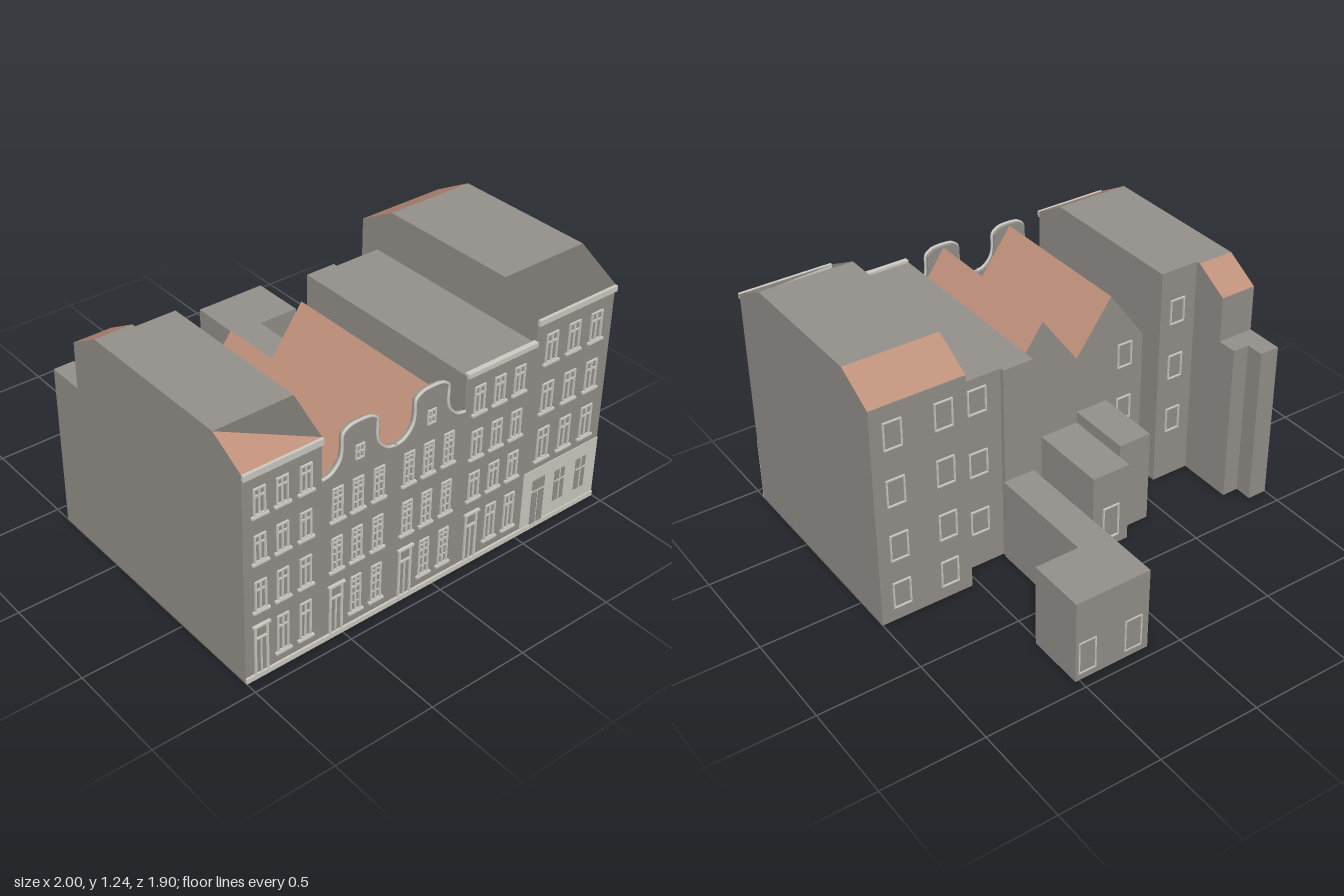
import * as THREE from 'three';
import { mergeGeometries } from 'three/addons/utils/BufferGeometryUtils.js';

const mat = (name, color) => {
  const m = new THREE.MeshStandardMaterial({ color, side: THREE.DoubleSide });
  m.name = name;
  return m;
};

export function createModel() {
  const stone = mat('greyWall', 0x96928d);
  const cream = mat('creamTrim', 0xcfcdc5);
  const tile = mat('terracottaRoof', 0xc0917c);
  const root = new THREE.Group();
  const FZ = 0.935; // facade plane

  const group = (name) => {
    const g = new THREE.Group();
    g.name = name;
    root.add(g);
    return g;
  };
  const add = (parent, name, geo, material) => {
    const m = new THREE.Mesh(geo, material);
    m.name = name;
    parent.add(m);
    return m;
  };
  // box from min/max corners
  const box = (x0, x1, y0, y1, z0, z1) =>
    new THREE.BoxGeometry(x1 - x0, y1 - y0, z1 - z0)
      .translate((x0 + x1) / 2, (y0 + y1) / 2, (z0 + z1) / 2);
  // flat convex polygon
  const panel = (...pts) => {
    const pos = [];
    for (let i = 1; i < pts.length - 1; i++) pos.push(...pts[0], ...pts[i], ...pts[i + 1]);
    const g = new THREE.BufferGeometry();
    g.setAttribute('position', new THREE.Float32BufferAttribute(pos, 3));
    g.computeVertexNormals();
    return g;
  };
  const sidePanel = (x, zy) => panel(...zy.map(([z, y]) => [x, y, z]));
  const wallPanel = (z, x0, x1, h) => panel([x0, 0, z], [x1, 0, z], [x1, h, z], [x0, h, z]);
  const flatPanel = (y, x0, x1, z0, z1) => panel([x0, y, z1], [x1, y, z1], [x1, y, z0], [x0, y, z0]);
  const slope = (x0, x1, za, ya, zb, yb) => panel([x0, ya, za], [x1, ya, za], [x1, yb, zb], [x0, yb, zb]);

  // rectangular frame on a wall; d = +1 front, -1 back
  const frame = (x, y0, y1, w, z, d = 1, t = 0.007) => {
    const za = Math.min(z, z + d * 0.008), zb = Math.max(z, z + d * 0.008), h = w / 2;
    return [
      box(x - h, x - h + t, y0, y1, za, zb), box(x + h - t, x + h, y0, y1, za, zb),
      box(x - h, x + h, y1 - t, y1, za, zb), box(x - h, x + h, y0, y0 + t, za, zb),
    ];
  };
  // street window: frame, mullion, transom, sill and optional small bars
  const streetWindow = (x, y0, y1, w, bars) => {
    const yt = y1 - (y1 - y0) * 0.3;
    const out = [
      ...frame(x, y0, y1, w, FZ),
      box(x - 0.004, x + 0.004, y0, y1, FZ, FZ + 0.006),
      box(x - w / 2, x + w / 2, yt - 0.004, yt + 0.004, FZ, FZ + 0.006),
      box(x - w / 2 - 0.012, x + w / 2 + 0.012, y0 - 0.008, y0 + 0.002, FZ, FZ + 0.014),
    ];
    if (bars) {
      for (const f of [0.25, 0.5, 0.85]) {
        const y = y0 + (y1 - y0) * f;
        out.push(box(x - w / 2, x + w / 2, y - 0.002, y + 0.002, FZ, FZ + 0.005));
      }
    }
    return out;
  };
  // door: frame to the ground, transom light, slim side posts, hood
  const door = (x, w) => [
    ...frame(x, 0.01, 0.275, w, FZ, 1, 0.009),
    box(x - w / 2, x + w / 2, 0.205, 0.214, FZ, FZ + 0.008),
    box(x - 0.003, x + 0.003, 0.01, 0.205, FZ, FZ + 0.006),
    box(x - w / 2 - 0.008, x + w / 2 + 0.008, 0.272, 0.282, FZ, FZ + 0.014),
  ];
  const facade = (parent, cols, rows, w, bars) => {
    const parts = [...door(cols[0], 0.07)];
    for (const [y0, y1] of rows) for (const x of cols) parts.push(...streetWindow(x, y0, y1, w, bars));
    for (const x of cols.slice(1)) parts.push(...streetWindow(x, 0.08, 0.27, w, bars));
    add(parent, 'windowAndDoorFrames', mergeGeometries(parts), cream);
  };
  const backFrames = (parent, z, cols, rows, w, h) => {
    const parts = [];
    for (const x of cols) for (const y of rows) parts.push(...frame(x, y - h / 2, y + h / 2, w, z, -1, 0.006));
    add(parent, 'rearWindowFrames', mergeGeometries(parts), cream);
  };

  // ---- corner house at -x, with a partly open attic front
  const a = group('cornerHouse');
  add(a, 'walls', mergeGeometries([
    sidePanel(-1, [[FZ, 0], [FZ, 1.05], [0.76, 1.15], [-0.05, 1.15], [-0.22, 1.05], [-0.22, 0]]),
    sidePanel(-0.615, [[FZ, 0], [FZ, 1.05], [0.76, 1.15], [-0.03, 1.15], [-0.03, 0]]),
    sidePanel(-0.815, [[-0.03, 0], [-0.03, 1.15], [-0.05, 1.15], [-0.22, 1.05], [-0.22, 0]]),
    wallPanel(FZ, -1, -0.615, 1.05),
    wallPanel(-0.03, -0.815, -0.615, 1.15),
    wallPanel(-0.22, -1, -0.815, 1.05),
    flatPanel(0, -1, -0.615, -0.03, FZ),
    flatPanel(0, -1, -0.815, -0.22, -0.03),
  ]), stone);
  add(a, 'flatRoof', mergeGeometries([
    flatPanel(1.15, -1, -0.615, -0.03, 0.76),
    flatPanel(1.15, -1, -0.815, -0.05, -0.03),
  ]), stone);
  add(a, 'frontRoofSlope', panel([-1, 1.05, FZ], [-0.615, 1.05, FZ], [-1, 1.15, 0.76]), tile);
  add(a, 'rearRoofSlope', slope(-0.815, -1, -0.22, 1.05, -0.05, 1.15), tile);
  add(a, 'cornice', box(-1, -0.615, 1.02, 1.05, FZ, 0.948), cream);
  add(a, 'rearTower', box(-1, -0.9, 0, 0.82, -0.41, -0.22), stone);
  add(a, 'rearTowerStep', box(-0.9, -0.815, 0, 0.82, -0.32, -0.22), stone);
  facade(a, [-0.92, -0.81, -0.695], [[0.83, 0.96], [0.6, 0.735], [0.355, 0.505]], 0.058, false);
  backFrames(a, -0.03, [-0.71], [0.93, 0.63, 0.33], 0.08, 0.13);

  // ---- twin houses with bell gables
  const b = group('twinGableHouses');
  const X0 = -0.615, X1 = 0.14, VAL = -0.235, centres = [-0.425, -0.0475];
  const half = [[-0.19, 0.84], [-0.15, 0.848], [-0.118, 0.872], [-0.097, 0.905], [-0.09, 0.945], [-0.088, 1.015],
    [-0.075, 1.03], [-0.05, 1.043], [0, 1.047]];
  const bell = [...half, ...half.slice(0, -1).reverse().map(([x, y]) => [-x, y])];
  const outline = centres.flatMap((c) => bell.map(([x, y]) => new THREE.Vector2(c + x, y)));
  const gable = new THREE.Shape([new THREE.Vector2(X0, 0), ...outline, new THREE.Vector2(X1, 0)]);
  add(b, 'gableFront', new THREE.ExtrudeGeometry(gable, { depth: 0.02, bevelEnabled: false })
    .translate(0, 0, FZ - 0.02), stone);
  const trimPath = new THREE.CatmullRomCurve3(outline.map((p) => new THREE.Vector3(p.x, p.y, FZ)), false, 'centripetal');
  add(b, 'gableCoping', new THREE.TubeGeometry(trimPath, 120, 0.008, 6), cream);
  const ZB = 0.095, EAVE = 0.775, RIDGE = 1.04;
  const roofX = [X0, centres[0], VAL, centres[1], X1];
  const roofY = [EAVE, RIDGE, EAVE, RIDGE, EAVE];
  const roofs = [], rear = [];
  for (let i = 0; i < 4; i++) {
    const [xa, xb, ya, yb] = [roofX[i], roofX[i + 1], roofY[i], roofY[i + 1]];
    roofs.push(panel([xa, ya, FZ - 0.02], [xb, yb, FZ - 0.02], [xb, yb, ZB], [xa, ya, ZB]));
    rear.push(panel([xb, 0, ZB], [xa, 0, ZB], [xa, ya, ZB], [xb, yb, ZB]));
  }
  add(b, 'pitchedRoofs', mergeGeometries(roofs), tile);
  add(b, 'rearWallAndFloor', mergeGeometries([...rear, flatPanel(0, X0, X1, ZB, FZ)]), stone);
  add(b, 'rearAnnexTall', box(-0.41, -0.24, 0, 0.48, -0.24, ZB), stone);
  add(b, 'rearAnnexLow', box(-0.24, -0.04, 0, 0.42, -0.31, ZB), stone);
  for (const cols of [[-0.535, -0.43, -0.32], [-0.16, -0.053, 0.058]])
    facade(b, cols, [[0.615, 0.775], [0.355, 0.525]], 0.055, true);
  add(b, 'atticWindows', mergeGeometries(centres.flatMap((x) => [
    ...frame(x, 0.865, 0.935, 0.045, FZ, 1, 0.006),
    box(x - 0.003, x + 0.003, 0.865, 0.935, FZ, FZ + 0.006),
    box(x - 0.022, x + 0.022, 0.897, 0.903, FZ, FZ + 0.006),
  ])), cream);
  backFrames(b, ZB, [-0.51], [0.7, 0.4, 0.14], 0.08, 0.13);
  backFrames(b, -0.31, [-0.14], [0.14], 0.09, 0.18);

  // ---- flat-roofed house with the long L-shaped rear wing
  const c = group('flatRoofHouse');
  add(c, 'mainBlock', box(0.14, 0.535, 0, 1.015, -0.08, FZ), stone);
  add(c, 'rearBay', box(0.14, 0.295, 0, 1.015, -0.1, -0.08), stone);
  add(c, 'cornice', box(0.14, 0.535, 1.005, 1.027, FZ - 0.01, 0.95), cream);
  add(c, 'rearWing', box(0.14, 0.3, 0, 0.425, -0.95, -0.1), stone);
  add(c, 'rearWingEnd', box(0.3, 0.52, 0, 0.425, -0.95, -0.66), stone);
  facade(c, [0.22, 0.335, 0.45], [[0.805, 0.94], [0.575, 0.715], [0.355, 0.495]], 0.06, false);
  backFrames(c, -0.08, [0.42], [0.9, 0.57, 0.25], 0.095, 0.13);
  backFrames(c, -0.946, [0.22, 0.46], [0.12], 0.09, 0.17);

  // ---- tall house at +x, attic front left open between the cornice and the roof
  const d = group('tallHouse');
  const prof = [[FZ, 0], [FZ, 1.13], [0.73, 1.24], [0.01, 1.24], [-0.185, 1.13], [-0.185, 0]];
  add(d, 'walls', mergeGeometries([
    sidePanel(0.535, prof), sidePanel(1, prof),
    wallPanel(FZ, 0.535, 1, 1.13), wallPanel(-0.185, 0.535, 1, 1.13),
    flatPanel(0, 0.535, 1, -0.185, FZ),
  ]), stone);
  add(d, 'flatRoof', flatPanel(1.24, 0.535, 1, 0.01, 0.73), stone);
  add(d, 'rearRoofSlope', slope(1, 0.535, -0.185, 1.13, 0.01, 1.24), tile);
  add(d, 'cornice', box(0.535, 1, 1.103, 1.13, FZ, 0.95), cream);
  add(d, 'groundFloorFacing', box(0.535, 1, 0, 0.33, FZ, FZ + 0.004), cream);
  const dCols = [0.63, 0.765, 0.9];
  add(d, 'groundFloorPanes', mergeGeometries([
    ...[-0.021, 0.021].map((o) => box(0.63 + o - 0.016, 0.63 + o + 0.016, 0.01, 0.2, FZ, FZ + 0.008)),
    box(0.593, 0.667, 0.215, 0.27, FZ, FZ + 0.008),
    ...dCols.slice(1).map((x) => box(x - 0.032, x + 0.032, 0.09, 0.26, FZ, FZ + 0.006)),
  ]), stone);
  const upper = [];
  for (const [y0, y1] of [[0.89, 1.035], [0.635, 0.785], [0.38, 0.545]])
    for (const x of dCols) upper.push(...streetWindow(x, y0, y1, 0.068, false));
  for (const x of dCols.slice(1)) upper.push(box(x - 0.003, x + 0.003, 0.09, 0.26, FZ, FZ + 0.009),
    box(x - 0.032, x + 0.032, 0.2, 0.206, FZ, FZ + 0.009));
  add(d, 'windowFrames', mergeGeometries(upper), cream);
  backFrames(d, -0.185, [0.65, 0.895], [0.98, 0.69, 0.4, 0.14], 0.09, 0.14);

  // plinth along the street
  add(root, 'plinth', box(-1, 1, 0, 0.025, FZ, 0.945), cream);
  return root;
}
